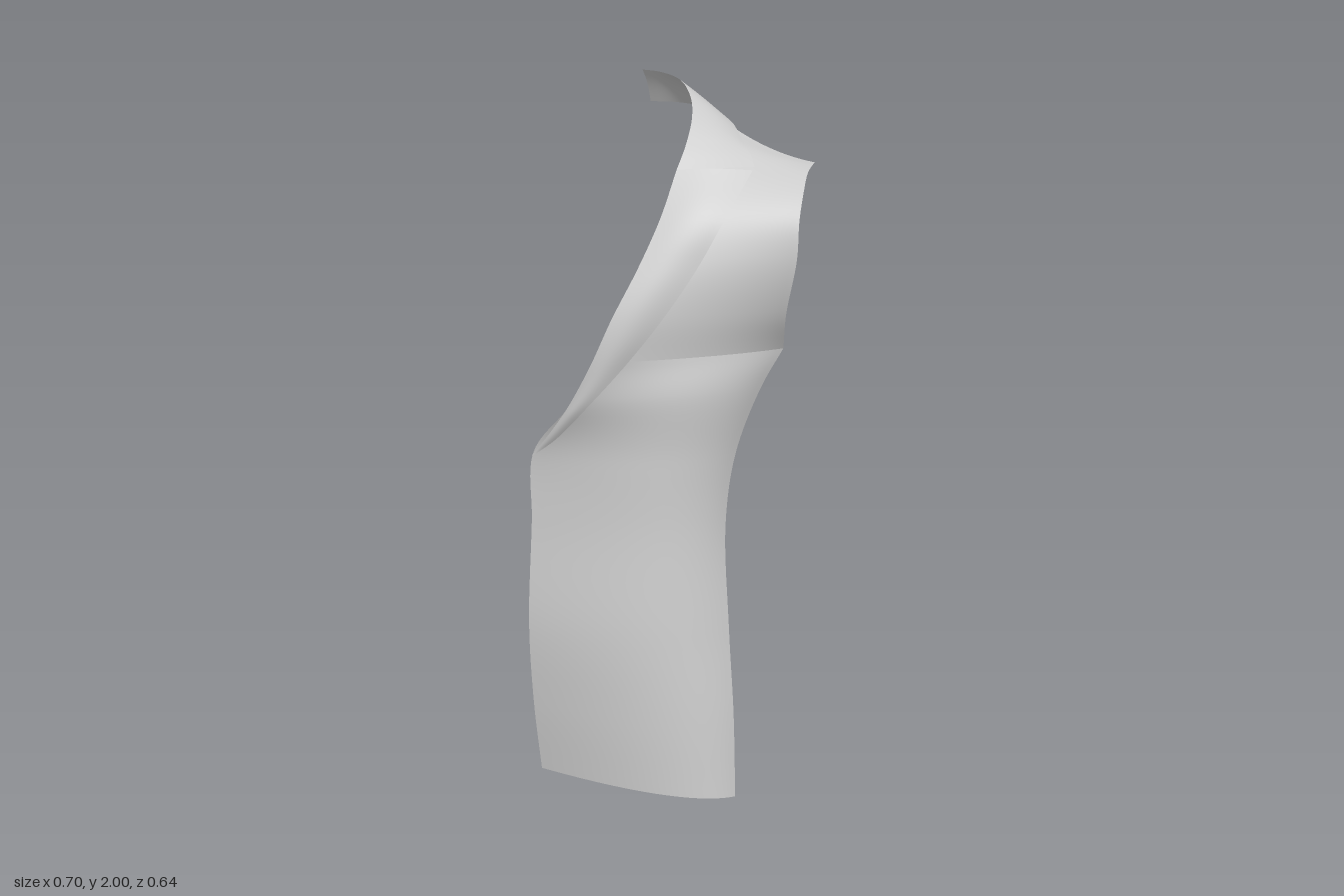
import * as THREE from 'three';

const material = new THREE.MeshStandardMaterial({ color: 0xcccccc, side: THREE.DoubleSide });

const curve = (pts) => new THREE.CatmullRomCurve3(pts.map((p) => new THREE.Vector3(...p)));

// Smooth cloth sheet: point(u, v) with u running outwards and v running upwards
function sheet(name, nu, nv, point) {
  const positions = [], index = [];
  for (let j = 0; j <= nv; j++) {
    for (let i = 0; i <= nu; i++) positions.push(...point(i / nu, j / nv).toArray());
  }
  for (let j = 0; j < nv; j++) {
    for (let i = 0; i < nu; i++) {
      const a = j * (nu + 1) + i, b = a + nu + 1;
      index.push(a, a + 1, b, a + 1, b + 1, b);
    }
  }
  const geometry = new THREE.BufferGeometry();
  geometry.setAttribute('position', new THREE.Float32BufferAttribute(positions, 3));
  geometry.setIndex(index);
  geometry.computeVertexNormals();
  const mesh = new THREE.Mesh(geometry, material);
  mesh.name = name;
  return mesh;
}

// Each row: inner edge, bend control, outer edge
function panel(rows) {
  const [inner, bend, outer] = [0, 1, 2].map((k) => curve(rows.map((r) => r[k])));
  return (u, v) => new THREE.QuadraticBezierCurve3(
    inner.getPoint(v), bend.getPoint(v), outer.getPoint(v)).getPoint(u);
}

// Each row: roll line, free edge; the strip bulges along a direction
function fold(rows, bulge) {
  const [roll, edge] = [0, 1].map((k) => curve(rows.map((r) => r[k])));
  const dir = new THREE.Vector3(...bulge);
  return (u, v) => roll.getPoint(v).lerp(edge.getPoint(v), u)
    .addScaledVector(dir, Math.sin(Math.PI * u) * Math.min(1, v * 4));
}

export function createModel() {
  const group = new THREE.Group();
  group.name = 'jacketFront';

  // Front panel from the hem to the armhole base
  const chest = [[-0.13, 1.28, 0.312], [0.16, 1.29, 0.15], [0.28, 1.29, -0.025]];
  group.add(sheet('frontPanel', 24, 48, panel([
    [[-0.34, 0.03, 0.27], [0.13, 0.03, 0.31], [0.22, 0, 0.14]],
    [[-0.348, 0.25, 0.292], [0.11, 0.25, 0.318], [0.205, 0.25, 0.122]],
    [[-0.35, 0.5, 0.303], [0.08, 0.5, 0.32], [0.18, 0.5, 0.102]],
    [[-0.348, 0.8, 0.275], [0.08, 0.8, 0.298], [0.156, 0.8, 0.075]],
    [[-0.345, 0.99, 0.265], [0.08, 1.0, 0.3], [0.175, 1.0, 0.053]],
    [[-0.2, 1.16, 0.306], [0.13, 1.18, 0.24], [0.23, 1.18, 0.015]],
    chest,
  ])));

  // Chest and shoulder beside the armhole
  group.add(sheet('shoulderPanel', 24, 40, panel([
    chest,
    [[-0.08, 1.4, 0.288], [0.14, 1.4, 0.165], [0.308, 1.4, 0.03]],
    [[-0.03, 1.53, 0.23], [0.17, 1.54, 0.132], [0.343, 1.55, 0.05]],
    [[0, 1.65, 0.158], [0.17, 1.66, 0.083], [0.342, 1.65, 0.035]],
    [[0.005, 1.75, 0.075], [0.17, 1.735, 0], [0.332, 1.72, -0.02]],
    [[0, 1.83, -0.005], [0.15, 1.765, -0.06], [0.312, 1.757, -0.1]],
    [[0, 1.872, -0.08], [0.14, 1.79, -0.13], [0.298, 1.768, -0.17]],
    [[-0.01, 1.895, -0.205], [0.13, 1.79, -0.225], [0.285, 1.77, -0.227]],
  ])));

  // Lapel folded back over the chest
  group.add(sheet('lapel', 10, 48, fold([
    [[-0.345, 0.99, 0.265], [-0.345, 0.985, 0.27]],
    [[-0.27, 1.07, 0.297], [-0.25, 1.055, 0.298]],
    [[-0.2, 1.16, 0.314], [-0.145, 1.16, 0.312]],
    [[-0.13, 1.28, 0.318], [-0.045, 1.28, 0.278]],
    [[-0.08, 1.4, 0.295], [0.04, 1.4, 0.234]],
    [[-0.03, 1.53, 0.237], [0.112, 1.53, 0.174]],
    [[0, 1.65, 0.165], [0.16, 1.65, 0.109]],
    [[0.005, 1.77, 0.07], [0.185, 1.767, -0.022]],
  ], [0.004, 0.005, 0.009])));

  // Collar running from the notch round to the back of the neck
  group.add(sheet('collar', 10, 40, fold([
    [[0.005, 1.77, 0.07], [0.185, 1.775, -0.035]],
    [[0.005, 1.825, 0.015], [0.155, 1.805, -0.075]],
    [[-0.01, 1.89, -0.06], [0.12, 1.83, -0.11]],
    [[-0.05, 1.94, -0.14], [0.05, 1.875, -0.19]],
    [[-0.12, 1.98, -0.22], [-0.05, 1.9, -0.26]],
    [[-0.2, 1.996, -0.26], [-0.16, 1.908, -0.31]],
    [[-0.26, 2, -0.27], [-0.26, 1.907, -0.322]],
  ], [0.003, 0.005, 0])));

  return group;
}
